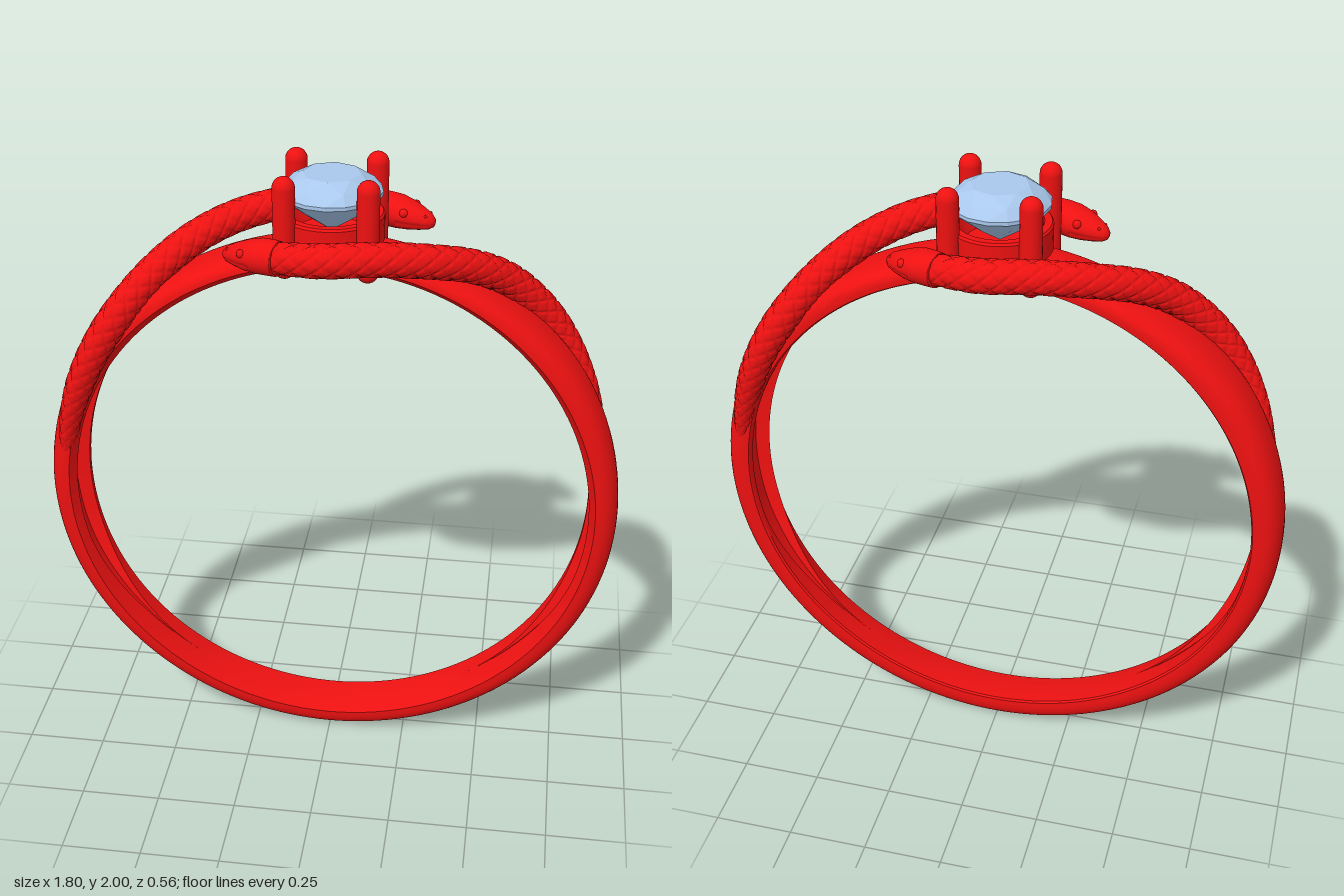
import * as THREE from 'three';
import { mergeVertices, toCreasedNormals } from 'three/addons/utils/BufferGeometryUtils.js';
import { ConvexGeometry } from 'three/addons/geometries/ConvexGeometry.js';

const red = new THREE.MeshStandardMaterial({ color: 0xee1111 });
const blue = new THREE.MeshStandardMaterial({ color: 0xa9c8ec, flatShading: true });
const TAU = Math.PI * 2;
const { lerp, smoothstep } = THREE.MathUtils;

// Surface through nu+1 cross-sections of nv points each; u, v run 0..1.
function loft(nu, nv, point) {
  const pos = [], idx = [];
  for (let i = 0; i <= nu; i++)
    for (let j = 0; j <= nv; j++) pos.push(...point(i / nu, (j % nv) / nv, i, j % nv));
  for (let i = 0; i < nu; i++)
    for (let j = 0; j < nv; j++) {
      const a = i * (nv + 1) + j, c = a + nv + 1;
      idx.push(a, a + 1, c, a + 1, c + 1, c);
    }
  let g = new THREE.BufferGeometry();
  g.setAttribute('position', new THREE.Float32BufferAttribute(pos, 3));
  g.setIndex(idx);
  g = mergeVertices(g, 1e-5);
  g.computeVertexNormals();
  return g;
}

function add(parent, name, geometry, material = red) {
  const m = new THREE.Mesh(geometry, material);
  m.name = name;
  parent.add(m);
  return m;
}

// Piecewise-linear lookup in rows of [t, a, b, ...]
function sample(rows, t) {
  let k = 0;
  while (k < rows.length - 2 && t > rows[k + 1][0]) k++;
  const [p, q] = [rows[k], rows[k + 1]];
  const f = Math.min(1, Math.max(0, (t - p[0]) / (q[0] - p[0])));
  return p.map((v, i) => lerp(v, q[i], f));
}

// Band: domed outside, flat inside with a channel that fades out near the bottom
function bandGeometry() {
  const dome = 20;
  const g = loft(160, dome + 7, (u, v, i, j) => {
    const phi = u * TAU;
    const up = (1 - Math.cos(phi)) / 2;
    const w = lerp(0.075, 0.105, smoothstep(up, 0, 0.7));
    const outer = lerp(0.9, 0.875, smoothstep(up, 0.75, 1));
    const s = smoothstep(up, 0.08, 0.4);
    const cw = (w - 0.028) * s, depth = 0.045 * s;
    let r, z;
    if (j <= dome) {
      const a = (j / dome) * Math.PI;
      z = w * Math.sign(Math.cos(a)) * Math.abs(Math.cos(a)) ** 0.8;
      r = 0.83 + (outer - 0.83) * Math.sin(a) ** 0.8;
    } else {
      [r, z] = [
        [0.815, -w * 0.98], [0.81, -w * 0.9], [0.81, -cw], [0.81 + depth, -cw * 0.9],
        [0.81 + depth, cw * 0.9], [0.81, cw], [0.81, w * 0.9],
      ][j - dome - 1];
    }
    return [r * Math.sin(phi), 0.9 - r * Math.cos(phi), z];
  });
  return toCreasedNormals(g, 0.6);
}

// Snake body: tapering tube with diamond scales cut into it
function bodyGeometry() {
  const path = new THREE.CatmullRomCurve3([
    [-0.13, 1.795, 0.215], [0, 1.8, 0.23], [0.15, 1.8, 0.2], [0.3, 1.775, 0.135],
    [0.42, 1.73, 0.05], [0.52, 1.66, -0.03], [0.62, 1.55, -0.09], [0.71, 1.41, -0.115],
    [0.78, 1.25, -0.105], [0.822, 1.1, -0.085], [0.835, 1.0, -0.07],
  ].map((p) => new THREE.Vector3(...p)));
  const nu = 420, nv = 48, around = 6;
  const length = path.getLength();
  const { normals, binormals } = path.computeFrenetFrames(nu, false);
  const centres = path.getSpacedPoints(nu);
  const radii = [[0, 0.046], [0.08, 0.05], [0.65, 0.05], [0.8, 0.044], [0.93, 0.03], [0.99, 0.02], [1, 0]];
  const groove = (x) => 1 - smoothstep(Math.abs(x - Math.round(x)), 0.02, 0.16);
  return loft(nu, nv, (u, v, i) => {
    const a = v * TAU, along = (u * length) / 0.055;
    const cut = Math.max(groove(along + v * around), groove(along - v * around));
    const r = sample(radii, u)[1] * (1 - 0.09 * cut);
    return centres[i].clone()
      .addScaledVector(normals[i], r * Math.cos(a))
      .addScaledVector(binormals[i], r * Math.sin(a)).toArray();
  });
}

// Head: flattened wedge along -x with a mouth groove on each side
function headGeometry() {
  const rows = [
    [0, 0, 0, 0], [0.01, 0.051, 0.05, 0], [0.15, 0.055, 0.051, 0], [0.35, 0.058, 0.05, -0.002],
    [0.55, 0.052, 0.044, -0.006], [0.75, 0.039, 0.034, -0.011], [0.9, 0.026, 0.024, -0.015],
    [0.97, 0.015, 0.014, -0.017], [1, 0, 0, -0.018],
  ];
  return loft(60, 48, (u, v) => {
    const [, w, h, y] = sample(rows, u);
    const a = v * TAU;
    const off = Math.abs(Math.cos(a) + 0.35);
    const mouth = u > 0.4 ? 0.07 * (1 - smoothstep(off, 0.03, 0.16)) : 0;
    const k = 1 - mouth;
    return [-0.185 * u, y + k * h * Math.cos(a), -k * w * Math.sin(a)];
  });
}

function snake(body, head) {
  const g = new THREE.Group();
  g.name = 'snake';
  add(g, 'scalyBody', body);
  const h = new THREE.Group();
  h.name = 'head';
  h.position.set(-0.118, 1.793, 0.217);
  h.rotation.y = -0.37;
  add(h, 'skull', head);
  for (const s of [-1, 1]) {
    const eye = add(h, 'eye', new THREE.SphereGeometry(0.013, 14, 10));
    eye.position.set(-0.1, 0.012, s * 0.043);
    const nostril = add(h, 'nostril', new THREE.SphereGeometry(0.005, 8, 6));
    nostril.position.set(-0.16, 0.004, s * 0.018);
  }
  g.add(h);
  return g;
}

// Round brilliant stone
function gemGeometry() {
  const pts = [new THREE.Vector3(0, 1.8, 0)];
  const ring = (n, r, y, shift = 0) => {
    for (let i = 0; i < n; i++) {
      const a = ((i + shift) / n) * TAU;
      pts.push(new THREE.Vector3(r * Math.cos(a), y, r * Math.sin(a)));
    }
  };
  ring(8, 0.085, 1.975);
  ring(8, 0.127, 1.952, 0.5);
  ring(16, 0.15, 1.925);
  ring(16, 0.15, 1.914);
  ring(8, 0.08, 1.855, 0.5);
  return new ConvexGeometry(pts);
}

export function createModel() {
  const model = new THREE.Group();
  model.name = 'snakeRing';
  add(model, 'band', bandGeometry());

  // Two snakes, half a turn apart
  const body = bodyGeometry(), head = headGeometry();
  for (const turn of [0, Math.PI]) {
    const s = snake(body, head);
    s.rotation.y = turn;
    model.add(s);
  }

  // Stepped cup under the stone
  const cup = [[0, 1.695], [0.115, 1.695], [0.115, 1.77], [0.155, 1.78], [0.155, 1.855],
    [0.15, 1.862], [0.128, 1.862], [0.1, 1.8], [0, 1.79]];
  const cupGeo = new THREE.LatheGeometry(cup.map((p) => new THREE.Vector2(...p)), 48);
  add(model, 'settingCup', toCreasedNormals(cupGeo, 0.6));

  // Four round-tipped prongs
  const prong = new THREE.CapsuleGeometry(0.033, 0.24, 8, 20);
  for (const x of [-0.12, 0.12])
    for (const z of [-0.12, 0.12]) add(model, 'prong', prong).position.set(x, 1.847, z);

  add(model, 'gem', gemGeometry(), blue);
  return model;
}
